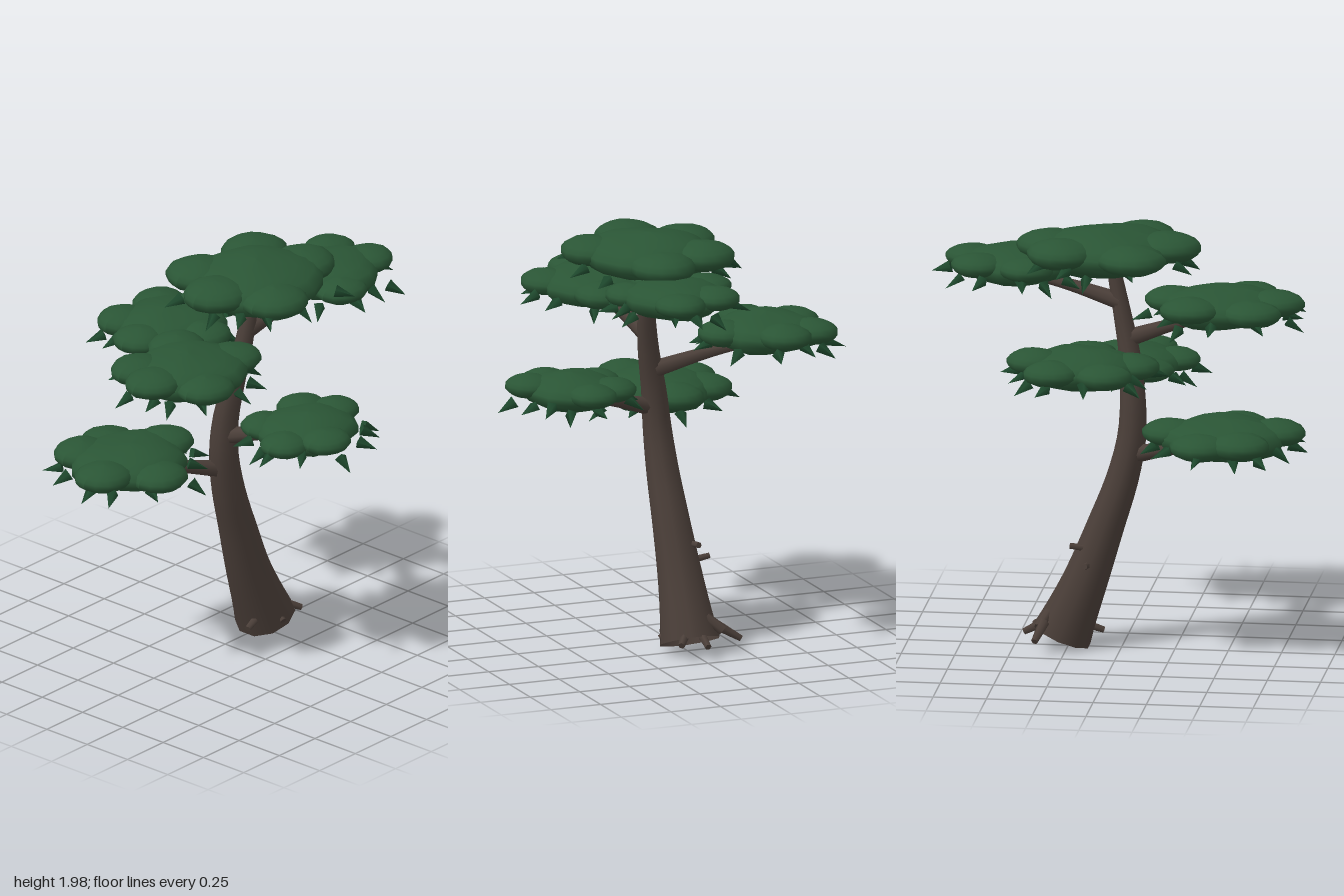
import * as THREE from 'three';

const V = (p) => new THREE.Vector3(...p);

export function createModel() {
  const bark = new THREE.MeshStandardMaterial({ name: 'bark brown', color: 0x4b3f39, side: THREE.DoubleSide });
  const leaf = new THREE.MeshStandardMaterial({ name: 'leaf green', color: 0x2a5535 });
  const needle = new THREE.MeshStandardMaterial({ name: 'needle green', color: 0x1f4a2e });
  const tree = new THREE.Group();
  tree.name = 'windsweptPine';

  const add = (parent, name, geometry, material) => {
    const mesh = new THREE.Mesh(geometry, material);
    mesh.name = name;
    parent.add(mesh);
    return mesh;
  };

  // Open tube whose rings are scaled by a radius rule
  const taperedTube = (name, points, radiusAt, segments, sides) => {
    const curve = new THREE.CatmullRomCurve3(points);
    const geo = new THREE.TubeGeometry(curve, segments, 1, sides);
    const pos = geo.attributes.position;
    const v = new THREE.Vector3();
    for (let i = 0; i <= segments; i++) {
      const u = i / segments;
      const centre = curve.getPointAt(u);
      for (let j = 0; j <= sides; j++) {
        const n = i * (sides + 1) + j;
        v.fromBufferAttribute(pos, n).sub(centre).multiplyScalar(radiusAt(u)).add(centre);
        pos.setXYZ(n, v.x, v.y, v.z);
      }
    }
    add(tree, name, geo, bark);
  };

  // Capped straight stub or cone between two points
  const stick = (parent, name, from, to, r0, r1, sides, material) => {
    const dir = to.clone().sub(from);
    const mesh = add(parent, name, new THREE.CylinderGeometry(r1, r0, dir.length(), sides), material);
    mesh.position.copy(from).addScaledVector(dir, 0.5);
    mesh.quaternion.setFromUnitVectors(new THREE.Vector3(0, 1, 0), dir.normalize());
  };

  // Curved trunk, flared and open at its tilted foot
  const trunkPath = [[0.28, 0.068, 0], [0.168, 0.34, 0], [0.075, 0.6, 0.01], [0, 0.82, 0.02],
    [-0.043, 1.02, 0.03], [-0.047, 1.2, 0.045], [-0.027, 1.4, 0.08], [0.012, 1.6, 0.107], [0.065, 1.86, 0.125]];
  taperedTube('trunk', trunkPath.map(V),
    (u) => 0.03 + 0.085 * (1 - u) + 0.03 * (1 - u) ** 8, 28, 10);

  // Broken twigs on the trunk and short roots passing through its foot
  const stub = (from, to, r0, r1) => stick(tree, 'stub', V(from), V(to), r0, r1, 6, bark);
  stub([0.1, 0.495, -0.05], [0.235, 0.512, -0.065], 0.018, 0.014);
  stub([0.15, 0.42, -0.06], [0.155, 0.435, -0.15], 0.018, 0.014);
  stub([0.33, 0.19, -0.06], [0.37, 0.13, -0.13], 0.024, 0.026);
  stub([0.35, 0.15, -0.11], [0.38, 0.085, -0.215], 0.026, 0.016);
  stub([0.32, 0.15, -0.02], [0.455, 0.08, -0.02], 0.026, 0.016);
  stub([0.32, 0.14, 0.03], [0.42, 0.09, 0.1], 0.024, 0.016);
  stub([0.22, 0.125, 0.04], [0.09, 0.08, 0.06], 0.024, 0.016);
  stub([0.27, 0.13, 0.07], [0.25, 0.09, 0.14], 0.022, 0.015);

  // Gently uneven ellipsoid for foliage
  const blob = (parent, name, at, size, seed, bump) => {
    const geo = new THREE.SphereGeometry(1, 14, 9);
    const pos = geo.attributes.position;
    for (let i = 0; i < pos.count; i++) {
      const [x, y, z] = [pos.getX(i), pos.getY(i), pos.getZ(i)];
      const k = 1 + bump * Math.sin(4 * x + seed) * Math.cos(4 * z + seed * 1.7);
      pos.setXYZ(i, x * k, y * k, z * k);
    }
    geo.scale(...size);
    geo.computeVertexNormals();
    add(parent, name, geo, leaf).position.copy(at);
  };

  // Foliage pad: body, lobes at the given angles in degrees, and drooping spikes
  const foliagePad = (name, centre, size, lobeAngles, seed) => {
    const pad = new THREE.Group();
    pad.name = name;
    tree.add(pad);
    const c = V(centre);
    const [rx, ry, rz] = size;
    const around = (a, reach, lift) =>
      new THREE.Vector3(Math.cos(a) * rx * reach, lift, Math.sin(a) * rz * reach).add(c);

    blob(pad, 'padBody', c, size, seed * 1.3 + 0.6, 0.07);
    lobeAngles.forEach((deg, i) => {
      const lift = 0.015 + 0.01 * Math.sin(i * 2 + seed);
      blob(pad, 'padLobe', around(THREE.MathUtils.degToRad(deg), 0.84, lift),
        [rx * 0.49, ry * 0.63, rz * 0.5], seed + i, 0.03);
    });

    const count = 12;
    for (let i = 0; i < count; i++) {
      const a = ((i + 0.3 * Math.sin(i * 5 + seed)) / count) * Math.PI * 2 + seed;
      const out = new THREE.Vector3(Math.cos(a), -0.45 - 0.2 * Math.sin(i * 2.3), Math.sin(a)).normalize();
      const from = around(a, 1.08 + 0.1 * Math.sin(i * 3.7 + seed * 2), -0.03 + 0.015 * Math.sin(i * 1.9));
      stick(pad, 'needleSpike', from, from.clone().addScaledVector(out, 0.095), 0.03, 0, 4, needle);
    }
  };

  // Branch rising from the trunk and levelling out under a pad
  const branch = (from, to) => {
    const [a, b] = [V(from), V(to)];
    b.y -= 0.04;
    const middle = a.clone().lerp(b, 0.5);
    middle.y += 0.012;
    taperedTube('branch', [a, middle, b], (u) => 0.015 + 0.028 * (1 - u), 8, 8);
  };

  foliagePad('crownPad', [0.08, 1.89, 0.12], [0.33, 0.108, 0.31], [240, 315, 10, 118, 180], 0);

  const branchPad = (name, root, centre, size, lobeAngles, seed) => {
    branch(root, centre);
    foliagePad(name, centre, size, lobeAngles, seed);
  };
  branchPad('upperLeftPad', [0.02, 1.65, 0.11], [0.52, 1.795, 0.18], [0.26, 0.085, 0.24],
    [317, 16, 120, 250, 180], 1);
  branchPad('upperRightPad', [-0.02, 1.48, 0.09], [-0.45, 1.625, 0.17], [0.29, 0.093, 0.26],
    [180, 115, 230, 302, 18], 2);
  branchPad('lowerRightPad', [-0.05, 0.94, 0.02], [-0.5, 1.08, -0.15], [0.29, 0.097, 0.265],
    [246, 290, 167, 0, 100], 3);
  branchPad('backPad', [-0.02, 1.31, 0.05], [0.12, 1.475, -0.45], [0.27, 0.093, 0.25],
    [238, 304, 0, 175, 90], 4);
  branchPad('frontPad', [-0.05, 1.12, 0.05], [0.025, 1.262, 0.49], [0.25, 0.085, 0.23],
    [167, 112, 354, 239, 308], 5);
  return tree;
}
